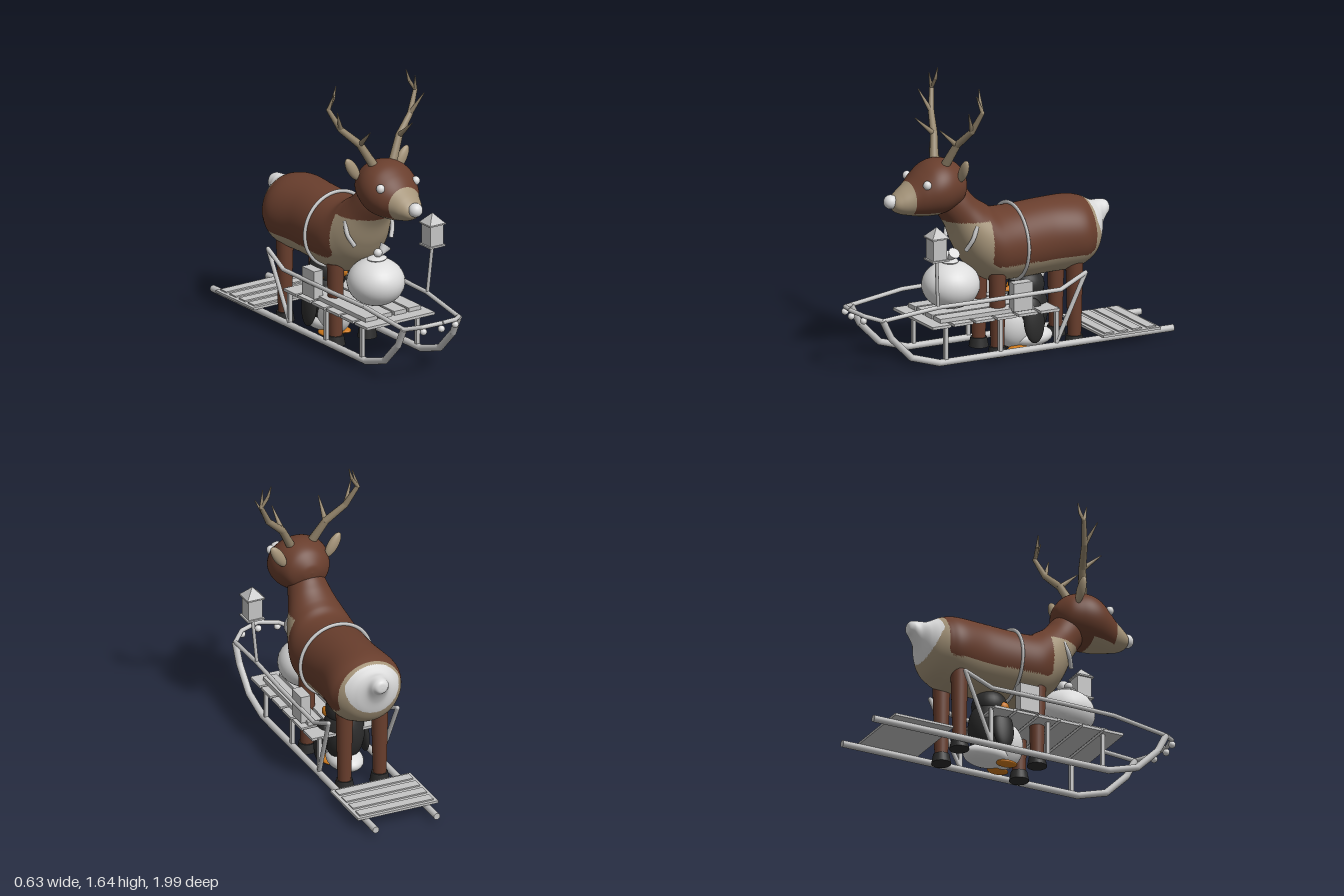
import * as THREE from 'three';

const mat = (name, color) => Object.assign(new THREE.MeshStandardMaterial({ color }), { name });
const V = (x, y, z) => new THREE.Vector3(x, y, z);

export function createModel() {
  const root = new THREE.Group();
  root.name = 'deerOnSled';
  const brown = mat('brownFur', 0x693e2d), tan = mat('tanFur', 0xa6957a), antlerTan = mat('antlerTan', 0x92836a);
  const white = mat('white', 0xdcdcdc), grey = mat('sledGrey', 0xc4c4c4);
  const black = mat('black', 0x2b2b2b), orange = mat('orange', 0xd07a1c);

  const add = (name, geo, m, x = 0, y = 0, z = 0) => {
    const o = new THREE.Mesh(geo, m);
    o.name = name;
    o.position.set(x, y, z);
    root.add(o);
    return o;
  };
  const box = (name, m, w, h, d, x, y, z) => add(name, new THREE.BoxGeometry(w, h, d), m, x, y, z);
  const blob = (name, m, rx, ry, rz, x, y, z) => {
    const o = add(name, new THREE.SphereGeometry(1, 32, 20), m, x, y, z);
    o.scale.set(rx, ry, rz);
    return o;
  };
  // Tapered rod between two points
  const rod = (name, m, a, b, ra, rb = ra, sides = 12) => {
    const d = b.clone().sub(a);
    const o = add(name, new THREE.CylinderGeometry(rb, ra, d.length(), sides), m);
    o.position.copy(a).addScaledVector(d, 0.5);
    o.quaternion.setFromUnitVectors(V(0, 1, 0), d.normalize());
    return o;
  };
  // Bent bar with round joints
  const bar = (name, m, pts, r) => {
    for (let i = 0; i < pts.length - 1; i++) {
      rod(name, m, pts[i], pts[i + 1], r);
      if (i) add(name + 'Joint', new THREE.SphereGeometry(r, 12, 8), m, ...pts[i].toArray());
    }
  };
  // Skin over stations [topZ, topY, bottomZ, bottomY, halfWidth]; pick chooses the material of a face
  const loft = (name, st, rows, cols, mats, pick) => {
    const top = new THREE.CatmullRomCurve3(st.map(s => V(0, s[1], s[0])), false, 'catmullrom');
    const bot = new THREE.CatmullRomCurve3(st.map(s => V(s[4], s[3], s[2])), false, 'catmullrom');
    const pos = [], lists = mats.map(() => []);
    for (let i = 0; i <= rows; i++) {
      const a = top.getPoint(i / rows), b = bot.getPoint(i / rows), w = Math.max(b.x, 0);
      for (let j = 0; j < cols; j++) {
        const t = j / cols * Math.PI * 2, k = (1 + Math.cos(t)) / 2;
        pos.push(w * Math.sin(t), b.y + (a.y - b.y) * k, b.z + (a.z - b.z) * k);
      }
    }
    const face = (...ids) => {
      const c = [0, 1, 2].map(n => ids.reduce((s, id) => s + pos[id * 3 + n], 0) / 3);
      lists[pick(...c)].push(...ids);
    };
    for (let i = 0; i < rows; i++) for (let j = 0; j < cols; j++) {
      const p = i * cols + j, q = i * cols + (j + 1) % cols;
      face(p, p + cols, q);
      face(q, p + cols, q + cols);
    }
    const g = new THREE.BufferGeometry();
    g.setAttribute('position', new THREE.Float32BufferAttribute(pos, 3));
    g.setIndex(lists.flat());
    let start = 0;
    lists.forEach((l, i) => { g.addGroup(start, l.length, i); start += l.length; });
    g.computeVertexNormals();
    return add(name, g, mats);
  };

  // Body from tail to neck: brown saddle with rounded corners, tan underside, white rump
  const bodyPick = (x, y, z) => {
    if (z < -0.53 && Math.hypot(x * 0.9, y - 0.71) < 0.15) return 2;
    if (y > 0.82 && z > 0.05) return 0;
    const dz = Math.max(Math.abs(z + 0.18) - 0.28, 0), dy = Math.max(0.6 - y, 0);
    return Math.hypot(dz, dy) < 0.05 ? 0 : 1;
  };
  loft('body', [
    [-0.685, 0.755, -0.685, 0.755, 0], [-0.68, 0.785, -0.68, 0.725, 0.03], [-0.66, 0.8, -0.655, 0.7, 0.05],
    [-0.62, 0.805, -0.62, 0.635, 0.07], [-0.585, 0.805, -0.59, 0.55, 0.12], [-0.55, 0.82, -0.55, 0.49, 0.165],
    [-0.5, 0.845, -0.49, 0.455, 0.205], [-0.42, 0.86, -0.42, 0.435, 0.225], [-0.25, 0.86, -0.25, 0.43, 0.205],
    [-0.05, 0.85, -0.05, 0.425, 0.212], [0.06, 0.855, 0.1, 0.435, 0.215], [0.12, 0.89, 0.22, 0.53, 0.19],
    [0.16, 0.915, 0.29, 0.64, 0.165], [0.2, 0.95, 0.345, 0.765, 0.135], [0.24, 1.0, 0.41, 0.87, 0.112],
    [0.3, 1.05, 0.45, 0.95, 0.09]], 180, 96, [brown, tan, white], bodyPick);

  // Head with tan muzzle
  loft('head', [
    [0.245, 1.04, 0.245, 1.04, 0], [0.255, 1.09, 0.255, 0.99, 0.06], [0.3, 1.15, 0.29, 0.92, 0.125],
    [0.36, 1.18, 0.37, 0.88, 0.16], [0.42, 1.188, 0.43, 0.865, 0.174], [0.48, 1.172, 0.49, 0.865, 0.168],
    [0.54, 1.13, 0.55, 0.87, 0.142], [0.6, 1.075, 0.6, 0.88, 0.108], [0.66, 1.03, 0.66, 0.895, 0.08],
    [0.7, 0.995, 0.7, 0.92, 0.05], [0.715, 0.96, 0.715, 0.96, 0]], 100, 72, [brown, tan],
    (x, y, z) => (z > 0.6 || (y < 0.9 && z > 0.45) ? 1 : 0));
  blob('nose', white, 0.041, 0.041, 0.041, 0, 0.972, 0.712);

  for (const s of [1, -1]) {
    const P = (x, y, z) => V(s * x, y, z);
    // Face
    blob('eye', white, 0.024, 0.026, 0.024, s * 0.122, 1.075, 0.542);
    blob('ear', tan, 0.033, 0.08, 0.024, s * 0.17, 1.142, 0.335).rotation.z = -s * 0.55;
    // Antlers: bent main beam with pointed tines
    const beam = [P(0.06, 1.15, 0.4), P(0.135, 1.29, 0.36), P(0.24, 1.39, 0.32), P(0.3, 1.51, 0.285)];
    const radii = [0.027, 0.022, 0.018, 0.013];
    for (let i = 0; i < 3; i++) {
      rod('antlerBeam', antlerTan, beam[i], beam[i + 1], radii[i], radii[i + 1], 10);
      add('antlerJoint', new THREE.SphereGeometry(radii[i + 1], 10, 8), antlerTan, ...beam[i + 1].toArray());
    }
    rod('antlerTine', antlerTan, beam[1], P(0.145, 1.395, 0.475), 0.017, 0.003, 10);
    rod('antlerTine', antlerTan, beam[2], P(0.3, 1.515, 0.372), 0.015, 0.003, 10);
    rod('antlerTine', antlerTan, beam[3], P(0.28, 1.605, 0.312), 0.012, 0.003, 10);
    bar('antlerTip', antlerTan, [beam[3], P(0.262, 1.57, 0.28)], 0.01);
    rod('antlerTip', antlerTan, P(0.262, 1.57, 0.28), P(0.243, 1.638, 0.277), 0.01, 0.003, 10);
    // Legs and hooves
    for (const z of [0.085, -0.41]) {
      rod('leg', brown, P(0.11, 0.04, z), P(0.11, 0.5, z), 0.038, 0.05, 24);
      add('hoof', new THREE.CylinderGeometry(0.047, 0.057, 0.055, 24), black, s * 0.11, 0.04, z);
    }
    // Harness strap on the chest and side pouch
    const strap = new THREE.CatmullRomCurve3([P(0.148, 0.8, 0.235), P(0.156, 0.73, 0.265), P(0.125, 0.66, 0.295)]);
    add('chestStrap', new THREE.TubeGeometry(strap, 16, 0.013, 10), grey);
    box('sidePouch', grey, 0.06, 0.165, 0.12, s * 0.195, 0.37, -0.02);

    // Sled runner with upturned front
    bar('runner', grey, [P(0.19, 0.045, -1), P(0.19, 0.045, 0.5), P(0.19, 0.1, 0.68), P(0.19, 0.23, 0.81),
      P(0.19, 0.34, 0.865)], 0.02);
    // Side rail and front bow
    bar('sideRail', grey, [P(0.19, 0.06, -0.25), P(0.215, 0.455, -0.425), P(0.225, 0.38, -0.26), P(0.225, 0.38, 0.2),
      P(0.215, 0.38, 0.52), P(0.19, 0.34, 0.865), P(0.115, 0.36, 0.94), P(0, 0.372, 0.972)], 0.013);
    for (const z of [0.46, 0.11, -0.25]) box('post', grey, 0.022, 0.23, 0.022, s * 0.19, 0.155, z);
    blob('bell', white, 0.02, 0.02, 0.02, s * 0.11, 0.333, 0.945);
  }
  blob('bell', white, 0.02, 0.02, 0.02, 0, 0.335, 0.965);

  // Belly strap
  const belly = add('bellyStrap', new THREE.TorusGeometry(0.22, 0.011, 12, 64), grey, 0, 0.64, -0.06);
  belly.scale.set(1, 1, 0.8);

  // Deck: cross slats below, long boards on top
  for (let i = 0; i < 6; i++) box('deckSlat', grey, 0.47, 0.016, 0.122, 0, 0.265, 0.508 - i * 0.139);
  for (let i = 0; i < 4; i++) box('deckBoard', grey, 0.085, 0.024, 0.6, -0.15 + i * 0.1, 0.288, 0.195);

  // Rear platform
  box('rearPlatform', grey, 0.5, 0.014, 0.37, 0, 0.072, -0.705);
  for (let i = 0; i < 4; i++) box('platformStrip', grey, 0.46, 0.008, 0.06, 0, 0.083, -0.57 - i * 0.09);

  // Lantern on a pole
  rod('lanternPole', grey, V(0.215, 0.38, 0.525), V(0.235, 0.67, 0.545), 0.01);
  box('lanternBase', grey, 0.108, 0.01, 0.108, 0.235, 0.67, 0.545);
  box('lanternBody', grey, 0.088, 0.12, 0.088, 0.235, 0.735, 0.545);
  box('lanternEave', grey, 0.11, 0.008, 0.11, 0.235, 0.799, 0.545);
  const roof = new THREE.ConeGeometry(0.075, 0.058, 4, 1).toNonIndexed();
  roof.computeVertexNormals();
  add('lanternRoof', roof, grey, 0.235, 0.832, 0.545).rotation.y = Math.PI / 4;

  // Sack with tied neck
  blob('sack', white, 0.165, 0.138, 0.168, 0, 0.435, 0.325);
  blob('sackCollar', white, 0.06, 0.016, 0.05, 0, 0.575, 0.335);
  blob('sackKnot', white, 0.025, 0.025, 0.025, 0, 0.61, 0.345);
  rod('sackRuffle', white, V(0.015, 0.59, 0.34), V(0.06, 0.635, 0.335), 0.01, 0.035, 16);

  // Penguin under the deer
  blob('penguinBody', black, 0.12, 0.18, 0.12, 0, 0.23, -0.165);
  blob('penguinHead', black, 0.1, 0.1, 0.105, 0, 0.37, -0.16);
  blob('penguinBelly', white, 0.095, 0.145, 0.125, 0, 0.155, -0.08);
  blob('penguinRump', white, 0.1, 0.06, 0.14, 0, 0.065, -0.18);
  blob('penguinButton', antlerTan, 0.012, 0.012, 0.012, 0, 0.21, 0.037);
  rod('penguinBeak', orange, V(0, 0.36, -0.07), V(0, 0.35, 0.0), 0.025, 0.003);
  for (const s of [1, -1]) {
    blob('penguinWing', black, 0.03, 0.13, 0.065, s * 0.13, 0.19, -0.14).rotation.z = s * 0.12;
    blob('penguinCheek', orange, 0.02, 0.03, 0.03, s * 0.085, 0.35, -0.11);
    blob('penguinFoot', orange, 0.04, 0.016, 0.065, s * 0.055, 0.018, -0.08);
  }
  return root;
}
